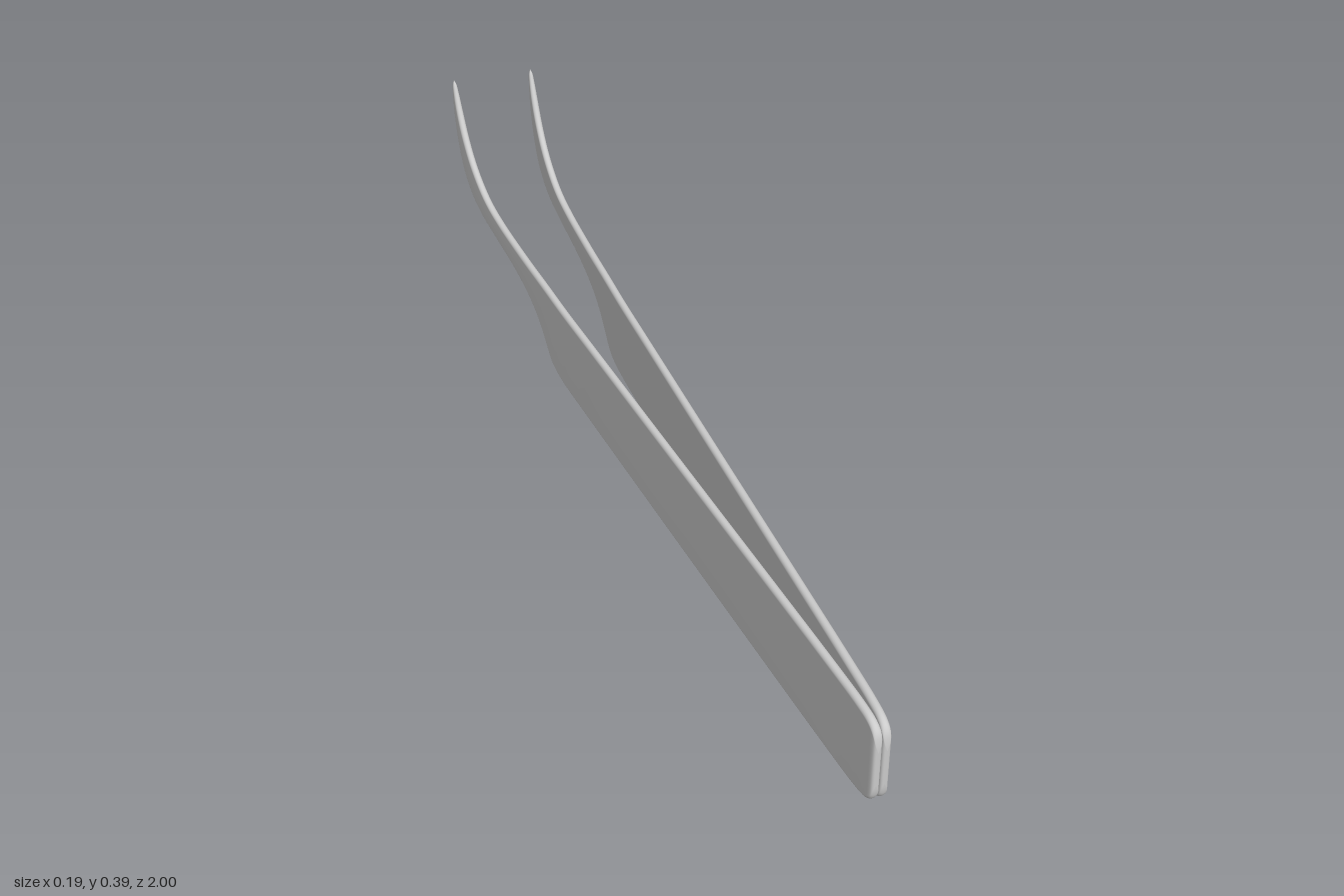
import * as THREE from 'three';

const HALF = 0.0077; // half thickness of the sheet

// Stations along a blade: [top z, top y, bottom z, bottom y, thickness factor]
const STATIONS = [
  // rounded grip end
  [1, 0.115, 1, 0.05, 0], [0.9985, 0.132, 0.9985, 0.036, 0.6],
  [0.995, 0.147, 0.995, 0.024, 0.9], [0.988, 0.157, 0.988, 0.015, 1],
  [0.972, 0.165, 0.972, 0.008, 1], [0.94, 0.169, 0.94, 0.004, 1],
  [0.88, 0.171, 0.88, 0.002, 1],
  // flat body
  [0.3, 0.171, 0.3, 0, 1], [-0.2, 0.171, -0.2, 0.001, 1], [-0.31, 0.171, -0.31, 0.002, 1],
  // shoulder
  [-0.36, 0.172, -0.36, 0.007, 1], [-0.39, 0.173, -0.39, 0.017, 1],
  [-0.42, 0.174, -0.42, 0.041, 1], [-0.46, 0.175, -0.46, 0.074, 1],
  [-0.52, 0.176, -0.52, 0.102, 1], [-0.6, 0.179, -0.61, 0.123, 1],
  // curved arm
  [-0.7, 0.185, -0.73, 0.138, 1], [-0.78, 0.197, -0.83, 0.153, 1],
  [-0.84, 0.22, -0.89, 0.175, 1], [-0.89, 0.252, -0.935, 0.21, 1],
  [-0.93, 0.292, -0.965, 0.26, 1], [-0.96, 0.335, -0.984, 0.315, 0.95],
  // pointed tip
  [-0.98, 0.37, -0.994, 0.358, 0.75], [-0.989, 0.387, -0.998, 0.382, 0.5],
  [-0.996, 0.394, -1, 0.392, 0],
];

// Lofts stadium-shaped sections; the blade leans from gripX (z = 1) to tipX (z = -1)
function makeBlade(name, gripX, tipX, material) {
  const edge = (zi, yi) => new THREE.CatmullRomCurve3(
    STATIONS.map((s) => new THREE.Vector3(s[4] * HALF, s[yi], s[zi])));
  const top = edge(0, 1), bottom = edge(2, 3);
  const rows = (STATIONS.length - 1) * 4, arc = 8, ring = 2 * (arc + 1);
  const positions = [], index = [];

  for (let i = 0; i <= rows; i++) {
    const t = top.getPoint(i / rows), b = bottom.getPoint(i / rows);
    const h = THREE.MathUtils.clamp(t.x, 0, HALF);
    const midY = (t.y + b.y) / 2, midZ = (t.z + b.z) / 2;
    const halfWidth = Math.max(Math.hypot(t.y - b.y, t.z - b.z) / 2, 1e-5);
    const dy = (t.y - midY) / halfWidth, dz = (t.z - midZ) / halfWidth;
    const r = Math.min(h, halfWidth);
    for (let j = 0; j < ring; j++) {
      const upper = j <= arc;
      const a = Math.PI * (upper ? j / arc : 1 + (j - arc - 1) / arc);
      const d = (upper ? 1 : -1) * (halfWidth - r) + r * Math.sin(a);
      const z = midZ + dz * d;
      const lean = THREE.MathUtils.lerp(tipX, gripX, (z + 1) / 2);
      positions.push(lean + h * Math.cos(a), midY + dy * d, z);
    }
  }
  for (let i = 0; i < rows; i++) {
    for (let j = 0; j < ring; j++) {
      const a = i * ring + j, b = i * ring + (j + 1) % ring;
      index.push(a, a + ring, b, b, a + ring, b + ring);
    }
  }
  const geometry = new THREE.BufferGeometry();
  geometry.setAttribute('position', new THREE.Float32BufferAttribute(positions, 3));
  geometry.setIndex(index);
  geometry.computeVertexNormals();
  const mesh = new THREE.Mesh(geometry, material);
  mesh.name = name;
  return mesh;
}

export function createModel() {
  const group = new THREE.Group();
  group.name = 'tweezers';
  const material = new THREE.MeshStandardMaterial({ color: 0xcccccc });
  group.add(makeBlade('rightBlade', 0.003, -0.087, material));
  group.add(makeBlade('leftBlade', 0.0175, 0.087, material));
  return group;
}
